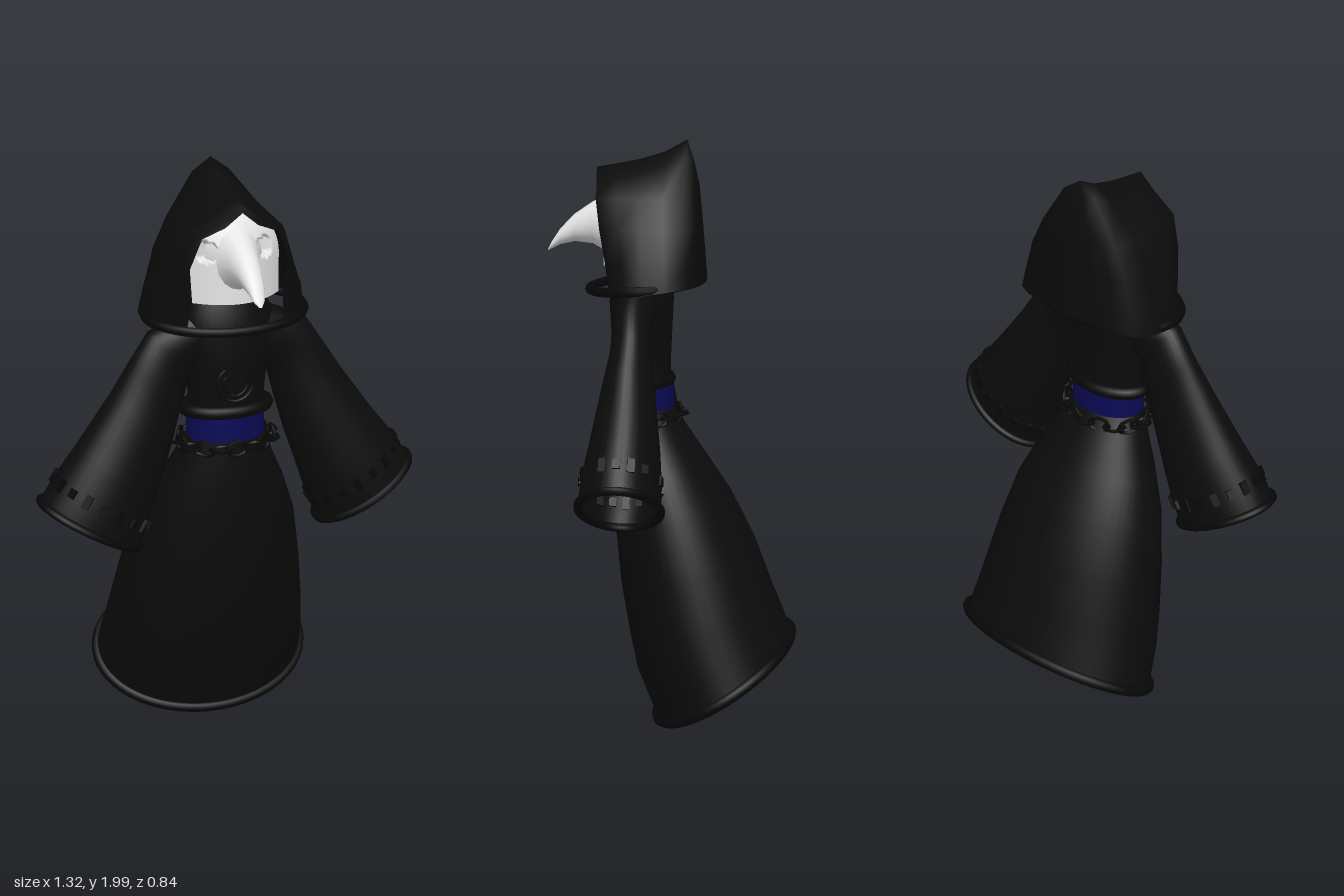
import * as THREE from 'three';

const V = (x, y, z) => new THREE.Vector3(x, y, z);
const mat = (name, color) => new THREE.MeshStandardMaterial({ name, color, side: THREE.DoubleSide });

// Ellipse of points: a and b are the ends of one axis, h is the other half axis
function ring(a, b, h, n = 36) {
  const mid = a.clone().add(b).multiplyScalar(0.5), half = a.clone().sub(b).multiplyScalar(0.5);
  return Array.from({ length: n }, (_, i) => {
    const t = (i / n) * Math.PI * 2;
    return mid.clone().addScaledVector(half, Math.cos(t)).addScaledVector(h, Math.sin(t));
  });
}

// Skin through rows of points; closed joins the end of each row to its start
function loft(rows, closed = true) {
  const n = rows[0].length, idx = [];
  for (let r = 0; r < rows.length - 1; r++) {
    for (let i = 0; i < (closed ? n : n - 1); i++) {
      const j = (i + 1) % n, a = r * n + i, b = r * n + j, c = a + n, d = b + n;
      idx.push(a, b, c, b, d, c);
    }
  }
  const g = new THREE.BufferGeometry().setFromPoints(rows.flat());
  g.setIndex(idx);
  g.computeVertexNormals();
  return g;
}

const hem = (points, r) =>
  new THREE.TubeGeometry(new THREE.CatmullRomCurve3(points, true), 72, r, 8, true);

export function createModel() {
  const model = new THREE.Group();
  model.name = 'hoodedFigure';
  const cloth = mat('black cloth', 0x0b0b0b);
  const trim = mat('dark trim', 0x070707);
  const blue = mat('blue sash', 0x0b0a55);
  const bone = mat('white mask', 0xe6e6e6);
  const add = (name, geo, m, parent = model) => {
    const mesh = new THREE.Mesh(geo, m);
    mesh.name = name;
    parent.add(mesh);
    return mesh;
  };

  // Skirt: front z, front y, back z, back y, half width
  const skirt = [
    [0.19, 1.10, 0.0, 1.10, 0.135], [0.2, 0.99, -0.06, 1.01, 0.175], [0.2, 0.88, -0.12, 0.92, 0.225],
    [0.2, 0.72, -0.2, 0.8, 0.28], [0.18, 0.5, -0.28, 0.64, 0.32], [0.15, 0.32, -0.34, 0.48, 0.348],
    [0.125, 0.2, -0.385, 0.37, 0.365], [0.055, 0.025, -0.405, 0.315, 0.38],
  ].map(([fz, fy, bz, by, w]) => ring(V(0, fy, fz), V(0, by, bz), V(w, 0, 0), 48));
  add('skirt', loft(skirt), cloth);
  add('skirtHem', hem(skirt.at(-1), 0.019), trim);

  // Torso and neck: y, front z, back z, half width
  const torso = [
    [1.17, 0.19, 0.01, 0.135], [1.25, 0.205, 0.01, 0.13], [1.36, 0.21, 0.005, 0.14],
    [1.46, 0.215, 0.0, 0.165], [1.53, 0.2, 0.0, 0.15], [1.58, 0.18, 0.01, 0.13],
  ].map(([y, f, b, w]) => ring(V(0, y, f), V(0, y, b), V(w, 0, 0)));
  add('torso', loft(torso), cloth);

  // Sash and rolled belt
  add('sash', loft([1.09, 1.19].map(y => ring(V(0, y, 0.2), V(0, y, 0.0), V(0.133, 0, 0)))), blue);
  add('belt', hem(ring(V(0, 1.195, 0.195), V(0, 1.195, 0.015), V(0.142, 0, 0)), 0.022), trim);

  // Chain of alternating links around the waist
  const chain = new THREE.Group();
  chain.name = 'waistChain';
  model.add(chain);
  for (let i = 0; i < 18; i++) {
    const t = (i / 18) * Math.PI * 2;
    const link = add('chainLink', new THREE.TorusGeometry(0.026, 0.006, 5, 8), trim, chain);
    link.position.set(Math.sin(t) * 0.162, 1.078, 0.1 + Math.cos(t) * 0.122);
    link.rotation.set(i % 2 ? Math.PI / 2 : 0, t, 0, 'YXZ');
    link.scale.set(1.35, 1, 1);
  }

  // Round chest clasp
  for (const r of [0.062, 0.042]) {
    add('chestClasp', new THREE.TorusGeometry(r, 0.006, 6, 32), trim).position.set(0, 1.3, 0.2);
  }

  // Sleeves: outer x, outer y, inner x, inner y, centre z, half depth
  const sleeveRows = [
    [0.15, 1.53, 0.06, 1.4, 0.11, 0.07], [0.27, 1.48, 0.135, 1.32, 0.12, 0.065],
    [0.335, 1.385, 0.165, 1.21, 0.12, 0.07], [0.4, 1.285, 0.2, 1.09, 0.125, 0.088],
    [0.52, 1.12, 0.255, 0.93, 0.13, 0.115], [0.6, 1.02, 0.29, 0.825, 0.135, 0.13],
    [0.648, 0.945, 0.322, 0.75, 0.138, 0.132],
  ];
  for (const s of [1, -1]) {
    const arm = new THREE.Group();
    arm.name = s > 0 ? 'leftSleeve' : 'rightSleeve';
    model.add(arm);
    const rows = sleeveRows.map(([ox, oy, ix, iy, z, h]) =>
      ring(V(s * ox, oy, z), V(s * ix, iy, z), V(0, 0, h)));
    add('sleeve', loft(rows), cloth, arm);
    add('cuffHem', hem(rows.at(-1), 0.014), trim, arm);
    // Raised tabs around the cuff
    const band = rows.at(-2);
    for (let i = 0; i < band.length; i += 2) {
      const tab = add('cuffTab', new THREE.BoxGeometry(0.024, i % 4 ? 0.045 : 0.03, 0.012), trim, arm);
      const centre = V(s * 0.445, 0.922, 0.135);
      tab.position.copy(band[i]);
      tab.up.set(s * -0.52, 0.85, 0);
      tab.lookAt(band[i].clone().multiplyScalar(2).sub(centre));
    }
  }

  // Hood, front to back: z, lean, low / middle / high half widths, bottom y, peak y
  const hood = [
    [0.2, 0.15, 0.165, 0.166, 0.13, 1.51, 1.885], [0.19, 0.16, 0.21, 0.185, 0.15, 1.505, 1.905],
    [0.14, 0.13, 0.26, 0.2, 0.165, 1.5, 1.915], [0.08, 0.08, 0.275, 0.21, 0.172, 1.505, 1.93],
    [0.01, 0.04, 0.272, 0.21, 0.17, 1.515, 1.955], [-0.06, 0.03, 0.24, 0.195, 0.15, 1.525, 1.995],
    [-0.095, 0.06, 0.18, 0.155, 0.12, 1.535, 1.92], [-0.11, 0.08, 0.1, 0.09, 0.07, 1.54, 1.87],
    [-0.114, 0.08, 0, 0, 0, 1.54, 1.85],
  ].map(([z, lean, lo, mid, hi, y0, top]) => {
    const half = [[lo, y0], [lo * 0.93, 1.6], [mid, 1.71], [hi, 1.81], [hi * 0.42, top - 0.045]];
    const pts = [...half.map(([x, y]) => [-x, y]), [0, top], ...half.slice().reverse()];
    return pts.map(([x, y]) => V(x, y, z + lean * (y - 1.5)));
  });
  add('hood', loft(hood, false), cloth);
  add('hoodHem', hem(ring(V(0, 1.503, 0.28), V(0, 1.535, -0.097), V(0.268, 0, 0)), 0.016), trim);

  // Face mask: a domed sheet with hollow eye sockets
  const face = [];
  for (let r = 0; r <= 40; r++) {
    const y = 1.58 + (r / 40) * 0.295, up = Math.max(0, (y - 1.71) / 0.166);
    const w = 0.166 * Math.sqrt(Math.max(0, 1 - up * up));
    face.push(Array.from({ length: 57 }, (_, i) => {
      const x = w * (i / 28 - 1), ax = Math.abs(x);
      let z = 0.235 - 3.2 * x * x - 0.07 * up * up;
      const d = Math.hypot((ax - 0.1) / 0.034, (y - 1.75) / 0.03);
      if (d < 1) z = Math.min(z, 0.165 + 0.5 * (ax - 0.1));
      return V(x, y, z);
    }));
  }
  add('mask', loft(face, false), bone);

  // Curved beak: z, top y, bottom y, half width
  const beak = [
    [0.17, 1.84, 1.59, 0.1], [0.22, 1.815, 1.62, 0.072], [0.27, 1.79, 1.65, 0.053],
    [0.33, 1.75, 1.657, 0.04], [0.38, 1.7, 1.647, 0.028], [0.41, 1.655, 1.632, 0.018],
    [0.422, 1.632, 1.626, 0.006],
  ].map(([z, t, b, w]) => ring(V(0, t, z), V(0, b, z), V(w, 0, 0), 16));
  add('beak', loft(beak), bone);

  return model;
}
